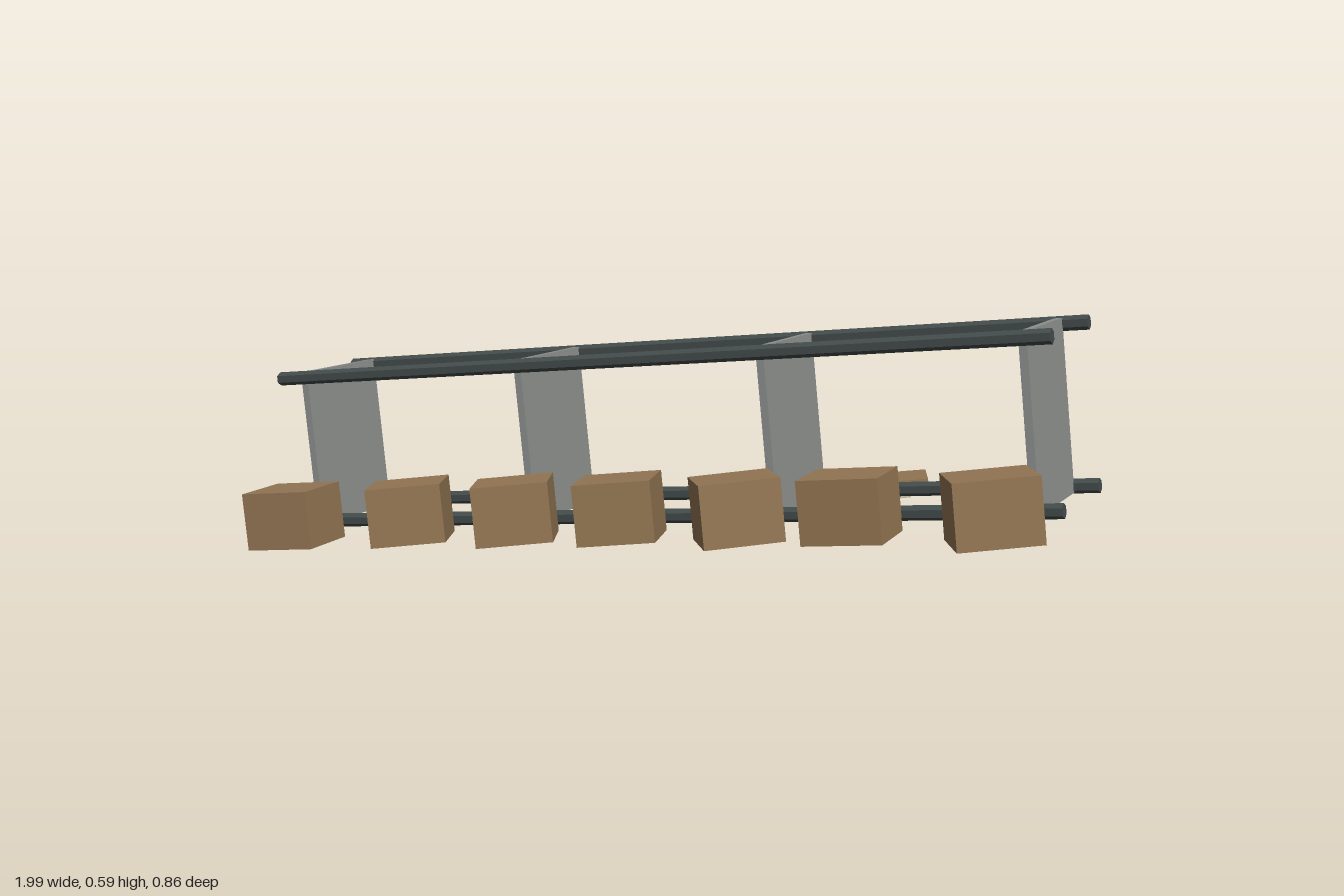
import * as THREE from 'three';

const SLOPE = 0.105; // everything lies on the same gentle incline

const material = (name, color) => {
  const m = new THREE.MeshStandardMaterial({ color, flatShading: true });
  m.name = name;
  return m;
};

export function createModel() {
  const rail = material('dark iron', 0x434c4b);
  const panel = material('grey metal', 0x8e918f);
  const cardboard = material('cardboard', 0x947653);
  const paper = material('paper', 0xc0b9a5);

  const model = new THREE.Group();
  model.name = 'fallenShelf';

  const add = (parent, name, geometry, mat, x, y, z) => {
    const mesh = new THREE.Mesh(geometry, mat);
    mesh.name = name;
    mesh.position.set(x, y, z);
    parent.add(mesh);
    return mesh;
  };

  // Shelf rack lying on its side, tilted along the slope
  const rack = new THREE.Group();
  rack.name = 'rack';
  rack.position.set(-0.015, 0.302, -0.041);
  rack.rotation.z = SLOPE;
  model.add(rack);

  // Four hexagonal posts
  const postGeometry = new THREE.CylinderGeometry(0.0165, 0.0165, 1.936, 6, 1, false, Math.PI / 6);
  postGeometry.rotateZ(-Math.PI / 2);
  for (const y of [-0.178, 0.178])
    for (const z of [-0.152, 0.152]) add(rack, 'post', postGeometry, rail, 0, y, z);

  // Four shelf boards standing between the posts
  const boardGeometry = new THREE.BoxGeometry(0.018, 0.382, 0.284);
  for (const x of [-0.904, -0.292, 0.322, 0.904])
    add(rack, 'shelfBoard', boardGeometry, panel, x, 0, 0);

  // Places an item on the slope, turned by a yaw in degrees
  const scatter = (name, geometry, mat, [x, y, z, yaw]) => {
    const item = add(model, name, geometry, mat, x, y, z);
    item.rotation.set(0, THREE.MathUtils.degToRad(yaw), SLOPE, 'ZYX');
  };

  // Row of cardboard boxes in front
  const boxGeometry = new THREE.BoxGeometry(0.172, 0.135, 0.152);
  [
    [-0.835, 0.08, 0.285, 5],
    [-0.522, 0.115, 0.257, 25],
    [-0.237, 0.145, 0.262, 25],
    [0.027, 0.173, 0.26, 17],
    [0.318, 0.204, 0.288, 34],
    [0.565, 0.23, 0.275, 4],
    [0.877, 0.263, 0.322, 27],
  ].forEach((place) => scatter('box', boxGeometry, cardboard, place));

  // Flattened box behind
  scatter('flatBox', new THREE.BoxGeometry(0.198, 0.027, 0.152), cardboard, [0.428, 0.163, -0.325, 21]);

  // Loose sheets of paper
  const sheetGeometry = new THREE.BoxGeometry(0.098, 0.003, 0.126);
  [
    [-0.517, 0.047, -0.285, 27],
    [-0.295, 0.07, -0.283, -42],
    [0.308, 0.134, -0.287, 10],
    [0.45, 0.146, -0.272, 28],
  ].forEach((place) => scatter('paperSheet', sheetGeometry, paper, place));

  return model;
}
